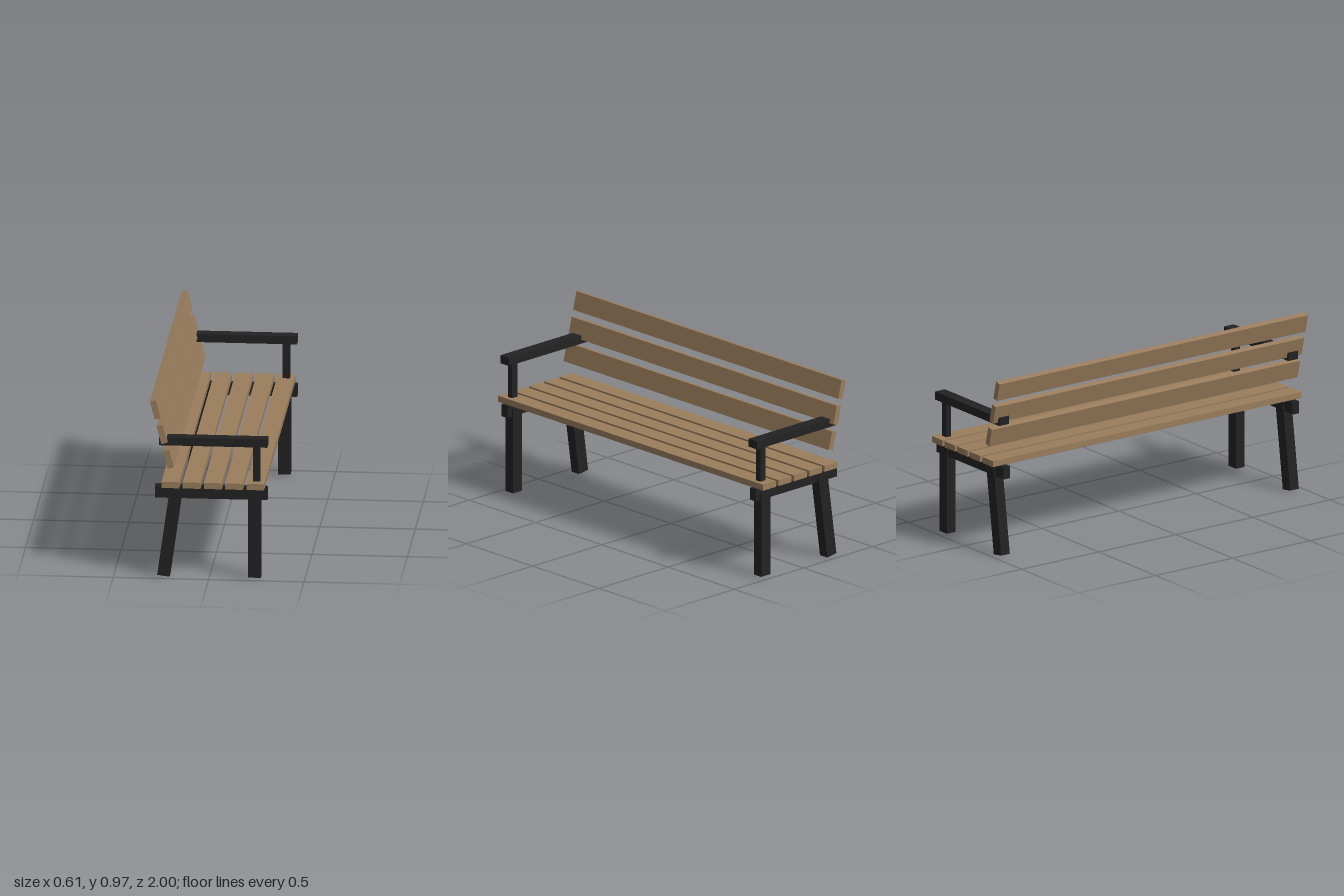
import * as THREE from 'three';

export function createModel() {
  const wood = new THREE.MeshStandardMaterial({ color: 0x9a7d5d });
  wood.name = 'wood';
  const iron = new THREE.MeshStandardMaterial({ color: 0x222222 });
  iron.name = 'blackIron';

  const bench = new THREE.Group();
  bench.name = 'bench';

  // Box with its size, centre and tilt about z
  function box(parent, name, material, [w, h, d], [x, y, z], tilt = 0) {
    const mesh = new THREE.Mesh(new THREE.BoxGeometry(w, h, d), material);
    mesh.name = name;
    mesh.position.set(x, y, z);
    mesh.rotation.z = tilt;
    parent.add(mesh);
  }

  // Five seat slats along z
  const seat = new THREE.Group();
  seat.name = 'seat';
  for (let i = 0; i < 5; i++) {
    box(seat, 'seatSlat', wood, [0.093, 0.033, 2], [-0.2 + i * 0.111, 0.511, 0]);
  }
  bench.add(seat);

  // Three leaning backrest slats
  const backrest = new THREE.Group();
  backrest.name = 'backrest';
  for (let i = 0; i < 3; i++) {
    box(backrest, 'backSlat', wood, [0.032, 0.1, 2], [-0.21 - i * 0.0345, 0.652 + i * 0.1335, 0], 0.25);
  }
  bench.add(backrest);

  // Matching iron frame at each end
  for (const side of [-1, 1]) {
    const frame = new THREE.Group();
    frame.name = side > 0 ? 'endFrameNear' : 'endFrameFar';
    frame.position.z = side * 0.937;
    box(frame, 'seatRail', iron, [0.59, 0.066, 0.042], [0.01, 0.462, 0]);
    box(frame, 'frontLeg', iron, [0.066, 0.467, 0.056], [0.238, 0.24, 0]);
    box(frame, 'backLeg', iron, [0.066, 0.47, 0.056], [-0.207, 0.238, 0], -0.14);
    box(frame, 'armPost', iron, [0.038, 0.24, 0.032], [0.247, 0.605, 0]);
    box(frame, 'armrest', iron, [0.566, 0.044, 0.064], [0.022, 0.74, 0]);
    bench.add(frame);
  }

  return bench;
}
